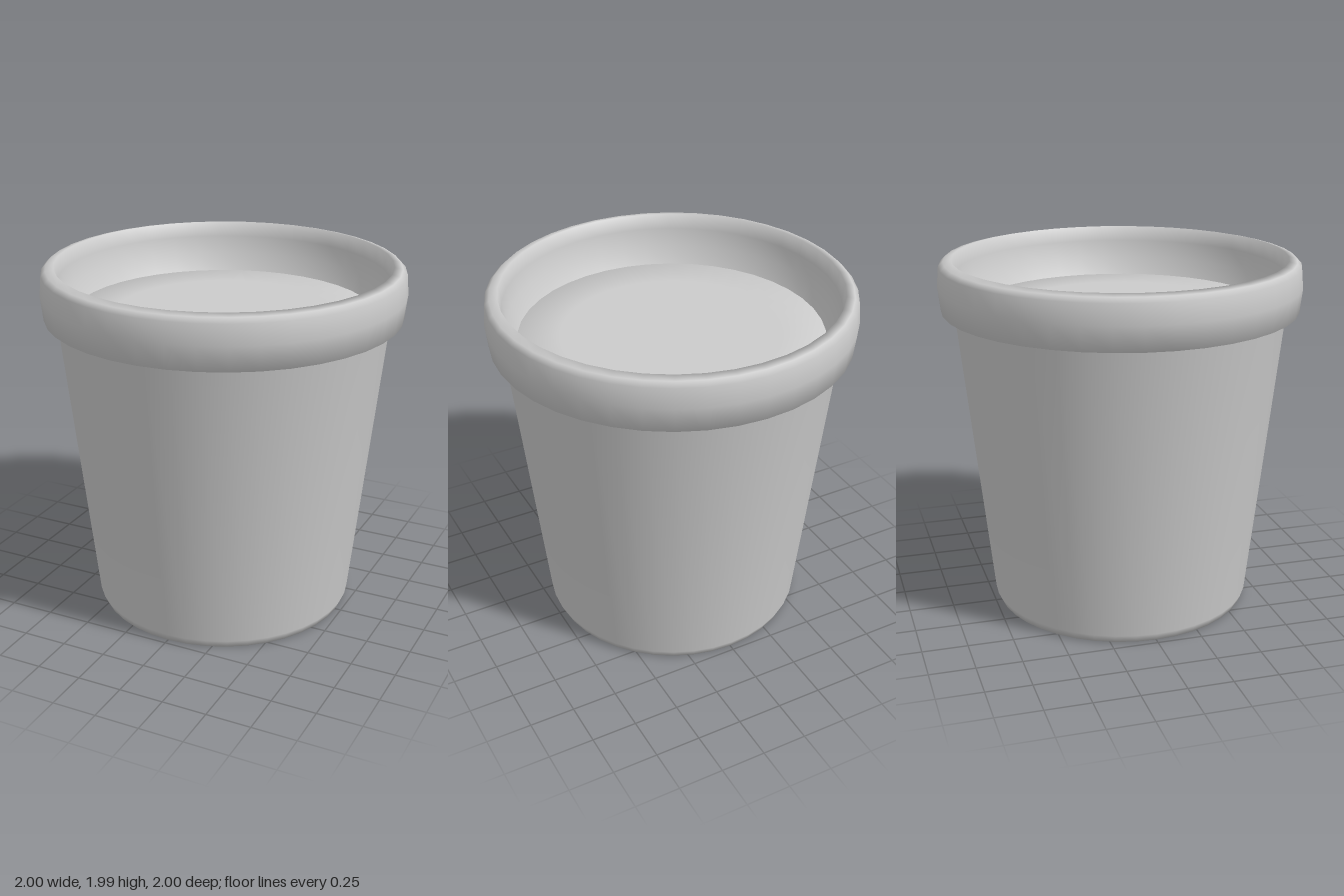
import * as THREE from 'three';

const SEGMENTS = 40;

// Revolve a profile of [radius, height] pairs into a smooth named mesh
function turned(name, profile) {
  const points = profile.map(([r, y]) => new THREE.Vector2(r, y));
  const material = new THREE.MeshStandardMaterial({ color: 0xcccccc, side: THREE.DoubleSide });
  const mesh = new THREE.Mesh(new THREE.LatheGeometry(points, SEGMENTS), material);
  mesh.name = name;
  return mesh;
}

export function createModel() {
  const group = new THREE.Group();
  group.name = 'plantPot';

  // One smooth shell: base, bevel, tapered wall, rim underside, rim and inner lip
  group.add(turned('potShell', [
    [0, 0], [0.715, 0], [0.735, 0.045], [0.915, 1.705],
    [0.985, 1.705], [1.0, 1.84], [0.99, 1.95], [0.965, 1.975], [0.92, 1.985],
    [0.905, 1.9], [0.885, 1.8], [0.835, 1.705],
  ]));

  // Soil plug meeting the lower edge of the lip, softly shaded at its border
  group.add(turned('soil', [[0.835, 1.6], [0.835, 1.705], [0.6, 1.705], [0, 1.705]]));

  return group;
}
